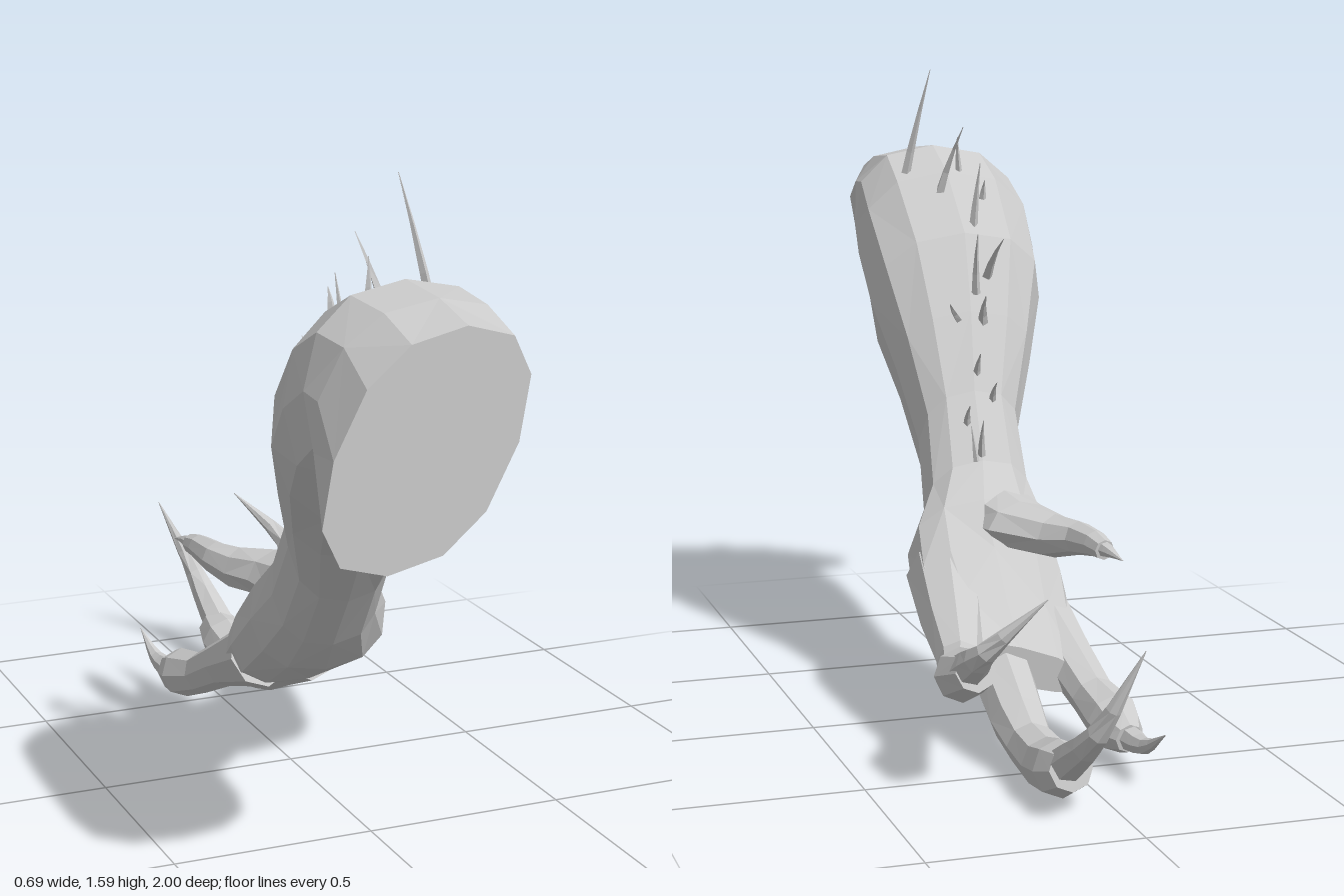
import * as THREE from 'three';

const skin = new THREE.MeshStandardMaterial({ color: 0xcccccc, flatShading: true });
const V = (p) => new THREE.Vector3(...p);

// Skins a list of equal rings of points, closing both ends with a fan.
function loft(name, rings) {
  const n = rings[0].length, pos = [], idx = [];
  rings.forEach((r) => r.forEach((p) => pos.push(p.x, p.y, p.z)));
  for (let i = 0; i < rings.length - 1; i++) {
    for (let j = 0; j < n; j++) {
      const a = i * n + j, b = i * n + (j + 1) % n, c = a + n, d = b + n;
      if ((i + j) % 2) idx.push(a, c, b, b, c, d);
      else idx.push(a, c, d, a, d, b);
    }
  }
  [0, rings.length - 1].forEach((i) => {
    const mid = new THREE.Vector3();
    rings[i].forEach((p) => mid.addScaledVector(p, 1 / n));
    const m = pos.push(mid.x, mid.y, mid.z) / 3 - 1;
    for (let j = 0; j < n; j++) {
      const a = i * n + j, b = i * n + (j + 1) % n;
      if (i === 0) idx.push(m, a, b);
      else idx.push(m, b, a);
    }
  });
  const g = new THREE.BufferGeometry();
  g.setAttribute('position', new THREE.Float32BufferAttribute(pos, 3));
  g.setIndex(idx);
  g.computeVertexNormals();
  const mesh = new THREE.Mesh(g, skin);
  mesh.name = name;
  return mesh;
}

// Tapered limb along points [x, y, z, radius, widthFactor = 1].
function limb(name, pts, sides) {
  const c = pts.map(V);
  const rings = c.map((p, i) => {
    const t = c[Math.min(i + 1, c.length - 1)].clone().sub(c[Math.max(i - 1, 0)]).normalize();
    const ref = Math.abs(t.y) > 0.95 ? new THREE.Vector3(0, 0, 1) : new THREE.Vector3(0, 1, 0);
    const side = t.clone().cross(ref).normalize(), up = side.clone().cross(t);
    const [, , , r, w = 1] = pts[i];
    return Array.from({ length: sides }, (_, j) => {
      const a = (j / sides) * Math.PI * 2;
      return p.clone().addScaledVector(side, Math.cos(a) * r * w).addScaledVector(up, Math.sin(a) * r);
    });
  });
  return loft(name, rings);
}

// Curved spike through three points, tapering to a tip.
function spike(name, a, b, c, r, sides, steps) {
  const curve = new THREE.CatmullRomCurve3([V(a), V(b), V(c)]);
  const pts = curve.getPoints(steps).map((p, i) =>
    [p.x, p.y, p.z, Math.max(r * (1 - Math.pow(i / steps, 1.3)), 0.001)]);
  return limb(name, pts, sides);
}

export function createModel() {
  const model = new THREE.Group();
  model.name = 'clawedArm';

  // Arm and palm: [top z, top y, bottom z, bottom y, min x, max x, skew, tilt]
  const sections = [
    [1.0, 1.345, 1.0, 0.82, -0.32, 0.11, 0.09, 0],
    [0.85, 1.375, 0.84, 0.97, -0.29, 0.15, 0.06, 0],
    [0.7, 1.39, 0.81, 0.96, -0.285, 0.185, 0.03, 0],
    [0.57, 1.33, 0.71, 0.89, -0.285, 0.205, 0.02, 0],
    [0.43, 1.18, 0.59, 0.8, -0.26, 0.205, 0, 0],
    [0.31, 0.99, 0.45, 0.68, -0.19, 0.175, 0, 0],
    [0.2, 0.8, 0.32, 0.53, -0.115, 0.15, 0, 0],
    [0.09, 0.64, 0.2, 0.38, -0.11, 0.17, 0, 0],
    [0.0, 0.56, 0.1, 0.28, -0.13, 0.24, 0, 0],
    [-0.1, 0.46, -0.02, 0.215, -0.14, 0.26, 0, 0.1],
    [-0.2, 0.36, -0.17, 0.17, -0.125, 0.25, 0, 0.25],
    [-0.31, 0.26, -0.3, 0.16, -0.11, 0.23, 0, 0.3],
  ];
  const N = 12;
  model.add(loft('armAndPalm', sections.map(([zt, yt, zb, yb, x0, x1, skew, tilt]) =>
    Array.from({ length: N }, (_, j) => {
      const a = (j / N) * Math.PI * 2;
      const cs = Math.cos(a), s = Math.sin(a);
      // slightly boxy ellipse
      const u = Math.sign(cs) * Math.pow(Math.abs(cs), 0.85), v = Math.sign(s) * Math.pow(Math.abs(s), 0.85);
      const hw = (x1 - x0) / 2;
      return new THREE.Vector3(
        (x0 + x1) / 2 + hw * u + skew * v,
        (yt + yb) / 2 + ((yt - yb) / 2) * v + tilt * hw * u,
        (zt + zb) / 2 + ((zt - zb) / 2) * v);
    }))));

  // Digits with their claws: claw = [base, bend, tip, radius]
  const digits = {
    middleFinger: {
      path: [[0.08, 0.28, -0.08, 0.09], [0.095, 0.185, -0.27, 0.075], [0.1, 0.115, -0.41, 0.068],
        [0.1, 0.08, -0.5, 0.058], [0.1, 0.072, -0.62, 0.062], [0.1, 0.09, -0.72, 0.068], [0.1, 0.11, -0.79, 0.052]],
      claw: [[0.105, 0.11, -0.76], [0.085, 0.23, -0.925], [0.005, 0.43, -1.0], 0.045],
    },
    leftFinger: {
      path: [[0.16, 0.38, -0.02, 0.1], [0.195, 0.3, -0.2, 0.08], [0.225, 0.25, -0.35, 0.056],
        [0.255, 0.25, -0.45, 0.052], [0.28, 0.275, -0.54, 0.064], [0.27, 0.305, -0.62, 0.05]],
      claw: [[0.28, 0.3, -0.59], [0.27, 0.37, -0.7], [0.15, 0.5, -0.775], 0.045],
    },
    rightFinger: {
      path: [[-0.05, 0.28, -0.08, 0.09], [-0.085, 0.2, -0.25, 0.062], [-0.105, 0.14, -0.36, 0.055],
        [-0.12, 0.11, -0.46, 0.066], [-0.12, 0.095, -0.52, 0.055], [-0.125, 0.09, -0.56, 0.035]],
      claw: [[-0.128, 0.09, -0.53], [-0.135, 0.095, -0.64], [-0.145, 0.15, -0.74], 0.033],
    },
    thumb: {
      path: [[0.0, 0.5, 0.07, 0.08, 1.3], [-0.02, 0.5, -0.05, 0.06, 1.6], [-0.08, 0.49, -0.15, 0.055, 1.1],
        [-0.115, 0.5, -0.23, 0.042], [-0.125, 0.505, -0.32, 0.032], [-0.13, 0.5, -0.37, 0.025]],
      claw: [[-0.13, 0.502, -0.35], [-0.135, 0.5, -0.4], [-0.145, 0.492, -0.455], 0.022],
    },
  };
  for (const [name, { path, claw }] of Object.entries(digits)) {
    const digit = new THREE.Group();
    digit.name = name;
    digit.add(limb(name + 'Flesh', path, 8));
    digit.add(spike(name + 'Claw', ...claw, 7, 6));
    model.add(digit);
  }

  // Bristles down the back of the forearm: base, tip, radius
  const bristles = [
    [[0.09, 1.27, 0.62], [0.03, 1.6, 0.55], 0.014],
    [[-0.06, 1.32, 0.59], [-0.05, 1.42, 0.57], 0.01],
    [[0.01, 1.27, 0.54], [-0.03, 1.455, 0.45], 0.014],
    [[-0.06, 1.19, 0.46], [-0.07, 1.36, 0.43], 0.012],
    [[-0.07, 1.27, 0.41], [-0.07, 1.32, 0.39], 0.01],
    [[-0.07, 1.07, 0.37], [-0.08, 1.18, 0.26], 0.014],
    [[-0.03, 1.03, 0.34], [-0.02, 1.19, 0.29], 0.012],
    [[-0.04, 0.95, 0.31], [-0.02, 1.04, 0.22], 0.014],
    [[0.03, 0.97, 0.3], [0.07, 1.02, 0.24], 0.01],
    [[0.0, 0.82, 0.24], [0.01, 0.9, 0.17], 0.012],
    [[-0.03, 0.77, 0.2], [-0.02, 0.83, 0.13], 0.01],
    [[0.05, 0.72, 0.16], [0.06, 0.78, 0.1], 0.01],
    [[0.03, 0.65, 0.1], [0.04, 0.75, 0.05], 0.01],
    [[0.05, 0.64, 0.08], [0.06, 0.73, 0.09], 0.008],
  ];
  const hair = new THREE.Group();
  hair.name = 'bristles';
  bristles.forEach(([a, b, r]) => {
    const mid = a.map((v, i) => (v + b[i]) / 2);
    mid[2] += (a[2] - b[2]) * 0.15;
    hair.add(spike('bristle', a, mid, b, r, 4, 3));
  });
  model.add(hair);
  return model;
}
